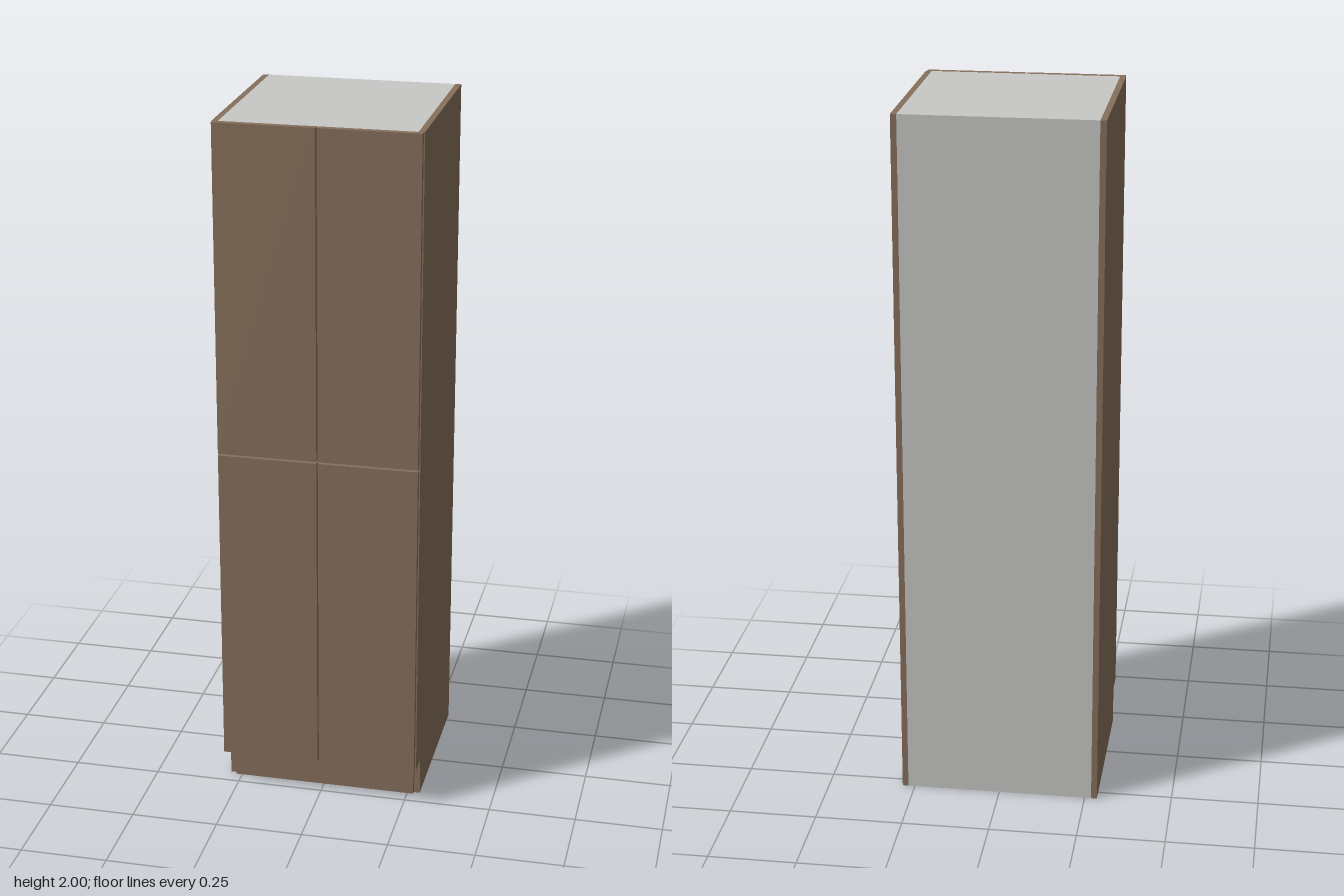
import * as THREE from 'three';

export function createModel() {
  const wood = new THREE.MeshStandardMaterial({ color: 0x87705c });
  wood.name = 'brown wood';
  const carcass = new THREE.MeshStandardMaterial({ color: 0xc8c8c6 });
  carcass.name = 'light grey board';

  const model = new THREE.Group();
  model.name = 'tallCabinet';

  // Box given by its minimum and maximum corners
  function board(name, material, [x0, y0, z0], [x1, y1, z1]) {
    const mesh = new THREE.Mesh(new THREE.BoxGeometry(x1 - x0, y1 - y0, z1 - z0), material);
    mesh.position.set((x0 + x1) / 2, (y0 + y1) / 2, (z0 + z1) / 2);
    mesh.name = name;
    model.add(mesh);
  }

  const outer = 0.286, inner = 0.269, back = -0.286, front = 0.266;
  const kickTop = 0.112, kickZ = 0.2;

  // Side panels, notched at the toe space; shape drawn in (-z, y)
  const profile = new THREE.Shape([
    [-back, 0], [-back, 2], [-front, 2], [-front, kickTop], [-kickZ, kickTop], [-kickZ, 0],
  ].map(([x, y]) => new THREE.Vector2(x, y)));
  const sideGeometry = new THREE.ExtrudeGeometry(profile, { depth: outer - inner, bevelEnabled: false });
  sideGeometry.rotateY(Math.PI / 2);
  for (const [name, x] of [['leftSide', inner], ['rightSide', -outer]]) {
    const side = new THREE.Mesh(sideGeometry, wood);
    side.position.x = x;
    side.name = name;
    model.add(side);
  }

  // Grey carcass: top, floor, back and shelves
  board('top', carcass, [-inner, 1.983, back], [inner, 2, front]);
  board('floor', carcass, [-inner, kickTop, back + 0.01], [inner, kickTop + 0.017, front]);
  board('backPanel', carcass, [-inner, 0, back], [inner, 1.983, back + 0.01]);
  board('middleShelf', carcass, [-inner, 1.048, back + 0.01], [inner, 1.065, front]);
  for (const y of [0.42, 0.73, 1.37, 1.69]) {
    board('shelf', carcass, [-inner, y - 0.008, back + 0.01], [inner, y + 0.008, front - 0.02]);
  }

  // Recessed plinth board
  board('toeKick', wood, [-inner + 0.001, 0, 0.193], [inner - 0.001, kickTop - 0.002, 0.21]);

  // Two pairs of doors with narrow gaps
  for (const [row, y0, y1] of [['lower', 0.115, 1.054], ['upper', 1.059, 2]]) {
    board(row + 'RightDoor', wood, [-0.283, y0, 0.267], [-0.002, y1, 0.285]);
    board(row + 'LeftDoor', wood, [0.002, y0, 0.267], [0.283, y1, 0.285]);
  }

  return model;
}
